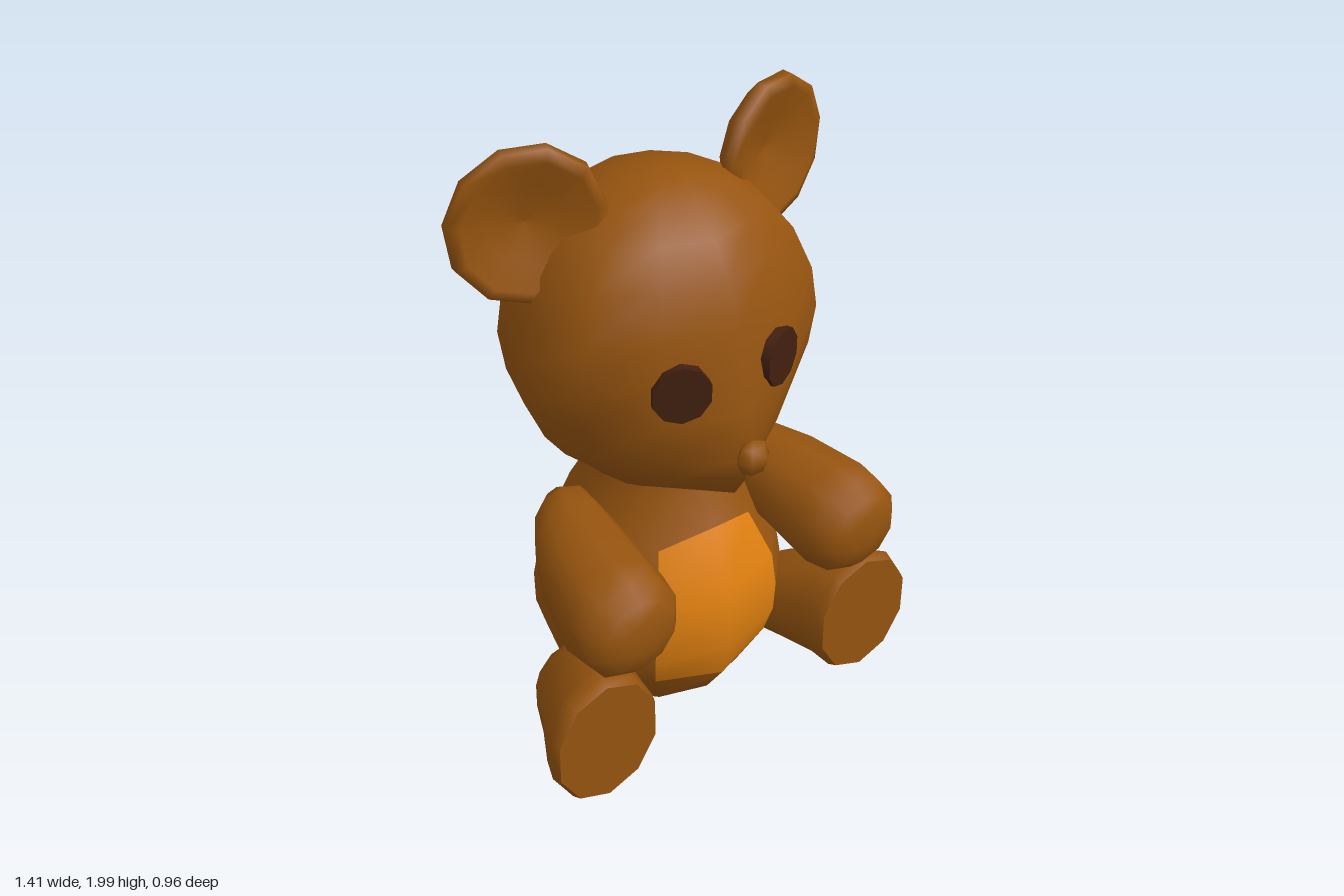
import * as THREE from 'three';
import { toCreasedNormals } from 'three/addons/utils/BufferGeometryUtils.js';

const fur = new THREE.MeshStandardMaterial({ color: 0x96540f });
fur.name = 'brown fur';
const bellyFur = new THREE.MeshStandardMaterial({ color: 0xe08010 });
bellyFur.name = 'orange belly';
const eyeDark = new THREE.MeshStandardMaterial({ color: 0x42200f });
eyeDark.name = 'dark brown eyes';

const rad = THREE.MathUtils.degToRad;

// Skins rings of [x, y, z] points and closes both ends; isPatch(row, column) picks the second material
function loft(rings, isPatch = () => false) {
  const n = rings[0].length;
  const points = rings.flat();
  const main = [], patch = [];
  for (let i = 0; i < rings.length - 1; i++) {
    for (let j = 0; j < n; j++) {
      const k = (j + 1) % n;
      const a = i * n + j, b = i * n + k, c = a + n, d = b + n;
      (isPatch(i, j) ? patch : main).push(a, b, d, a, d, c);
    }
  }
  [0, rings.length - 1].forEach((row, end) => {
    const center = [0, 1, 2].map(m => rings[row].reduce((sum, p) => sum + p[m], 0) / n);
    const hub = points.push(center) - 1;
    for (let j = 0; j < n; j++) {
      const a = row * n + j, b = row * n + (j + 1) % n;
      if (end) main.push(hub, a, b);
      else main.push(hub, b, a);
    }
  });
  const geometry = new THREE.BufferGeometry();
  geometry.setAttribute('position', new THREE.Float32BufferAttribute(points.flat(), 3));
  geometry.setIndex([...main, ...patch]);
  geometry.addGroup(0, main.length, 0);
  if (patch.length) geometry.addGroup(main.length, patch.length, 1);
  return toCreasedNormals(geometry, 1.1);
}

function add(parent, name, geometry, material) {
  const mesh = new THREE.Mesh(geometry, material);
  mesh.name = name;
  parent.add(mesh);
  return mesh;
}

// Body rings: y, half width, front z, back z, lift of the front middle point
function bodyGeometry() {
  const angles = [0, 35, 62, 90, 120, 150, 180, 210, 240, 270, 298, 325].map(rad);
  const rows = [
    [0, 0.21, 0.14, -0.24, 0], [0.05, 0.28, 0.22, -0.32, 0], [0.195, 0.39, 0.30, -0.41, -0.03],
    [0.29, 0.42, 0.33, -0.435, 0], [0.4, 0.42, 0.34, -0.445, 0], [0.52, 0.395, 0.33, -0.43, 0],
    [0.67, 0.31, 0.25, -0.375, 0.05], [0.81, 0.23, 0.19, -0.295, 0], [0.88, 0.2, 0.17, -0.24, 0],
  ];
  const rings = rows.map(([y, rx, zf, zb, lift]) => angles.map((t, j) => [
    rx * Math.sin(t), y + (j === 0 ? lift : 0),
    (zf + zb) / 2 + (zf - zb) / 2 * Math.cos(t),
  ]));
  return loft(rings, (i, j) => i >= 2 && i < 6 && (j === 0 || j === 11));
}

// Head rings: y, half width, front z, back z; the face is wedge-shaped
function headGeometry() {
  const zc = -0.05;
  const rows = [
    [0.84, 0.21, 0.18, -0.24], [0.9, 0.27, 0.34, -0.32], [0.97, 0.35, 0.385, -0.385],
    [1.06, 0.42, 0.41, -0.42], [1.2, 0.485, 0.385, -0.46], [1.33, 0.505, 0.355, -0.48],
    [1.46, 0.485, 0.335, -0.465], [1.6, 0.42, 0.295, -0.41], [1.7, 0.335, 0.225, -0.355],
    [1.78, 0.225, 0.14, -0.27], [1.815, 0.1, 0.04, -0.14], [1.828, 0.015, -0.04, -0.06],
  ];
  const rings = rows.map(([y, rx, zf, zb]) => Array.from({ length: 12 }, (_, j) => {
    const t = j * Math.PI / 6, c = Math.cos(t), s = Math.sin(t);
    const cheek = zc + 0.45 * rx;
    if (j === 1 || j === 11) return [Math.sign(s) * 0.47 * rx, y, (zf + cheek) / 2 + 0.04 * rx];
    if (j === 2 || j === 10) return [s * rx, y, cheek];
    return [s * rx, y, c > 0.9 ? zf : zc + (zc - zb) * c];
  }));
  return loft(rings);
}

// Limb sections along z: z, centre x, centre y, x radius, y radius
function limbGeometry(side, rows) {
  return loft(rows.map(([z, x, y, rx, ry]) => Array.from({ length: 10 }, (_, j) => {
    const t = (j + 0.5) * Math.PI / 5;
    return [side * x + rx * Math.cos(t), y + ry * Math.sin(t), z];
  })));
}

const armRows = [
  [-0.14, 0.33, 0.73, 0.06, 0.06], [-0.09, 0.34, 0.72, 0.11, 0.1], [0, 0.37, 0.70, 0.14, 0.125],
  [0.12, 0.4, 0.675, 0.165, 0.15], [0.32, 0.43, 0.632, 0.185, 0.18],
  [0.41, 0.435, 0.63, 0.17, 0.165], [0.46, 0.435, 0.635, 0.125, 0.12], [0.478, 0.435, 0.64, 0.06, 0.06],
];
const legRows = [
  [-0.05, 0.36, 0.17, 0.08, 0.06], [-0.02, 0.375, 0.17, 0.13, 0.1], [0.05, 0.405, 0.18, 0.16, 0.14],
  [0.18, 0.45, 0.21, 0.175, 0.175], [0.3, 0.5, 0.225, 0.19, 0.205],
  [0.37, 0.52, 0.226, 0.196, 0.23], [0.4, 0.52, 0.225, 0.185, 0.215],
];

// Ear: a dished disc turned slightly outward
function earGeometry() {
  const profile = [[0, -0.09], [0.1, -0.08], [0.19, -0.045], [0.24, 0.0], [0.235, 0.035],
    [0.2, 0.045], [0.12, 0.005], [0, -0.015]].map(p => new THREE.Vector2(...p));
  return new THREE.LatheGeometry(profile, 11).rotateX(Math.PI / 2);
}

export function createModel() {
  const model = new THREE.Group();
  model.name = 'teddyBear';
  add(model, 'body', bodyGeometry(), [fur, bellyFur]);
  add(model, 'head', headGeometry(), fur);

  const nose = add(model, 'nose', new THREE.SphereGeometry(0.06, 6, 4), fur);
  nose.position.set(0, 1.07, 0.42);
  nose.scale.z = 0.65;

  for (const [side, label] of [[1, 'left'], [-1, 'right']]) {
    add(model, label + 'Arm', limbGeometry(side, armRows), fur);
    add(model, label + 'Leg', limbGeometry(side, legRows), fur);

    const ear = add(model, label + 'Ear', earGeometry(), fur);
    ear.position.set(side * 0.435, 1.76, -0.075);
    ear.rotation.y = side * rad(16);

    const eyeShape = new THREE.CylinderGeometry(0.092, 0.092, 0.06, 10).rotateX(Math.PI / 2);
    const eye = add(model, label + 'Eye', eyeShape, eyeDark);
    eye.position.set(side * 0.175, 1.3, 0.295);
    eye.rotation.y = side * rad(23);
  }
  return model;
}
